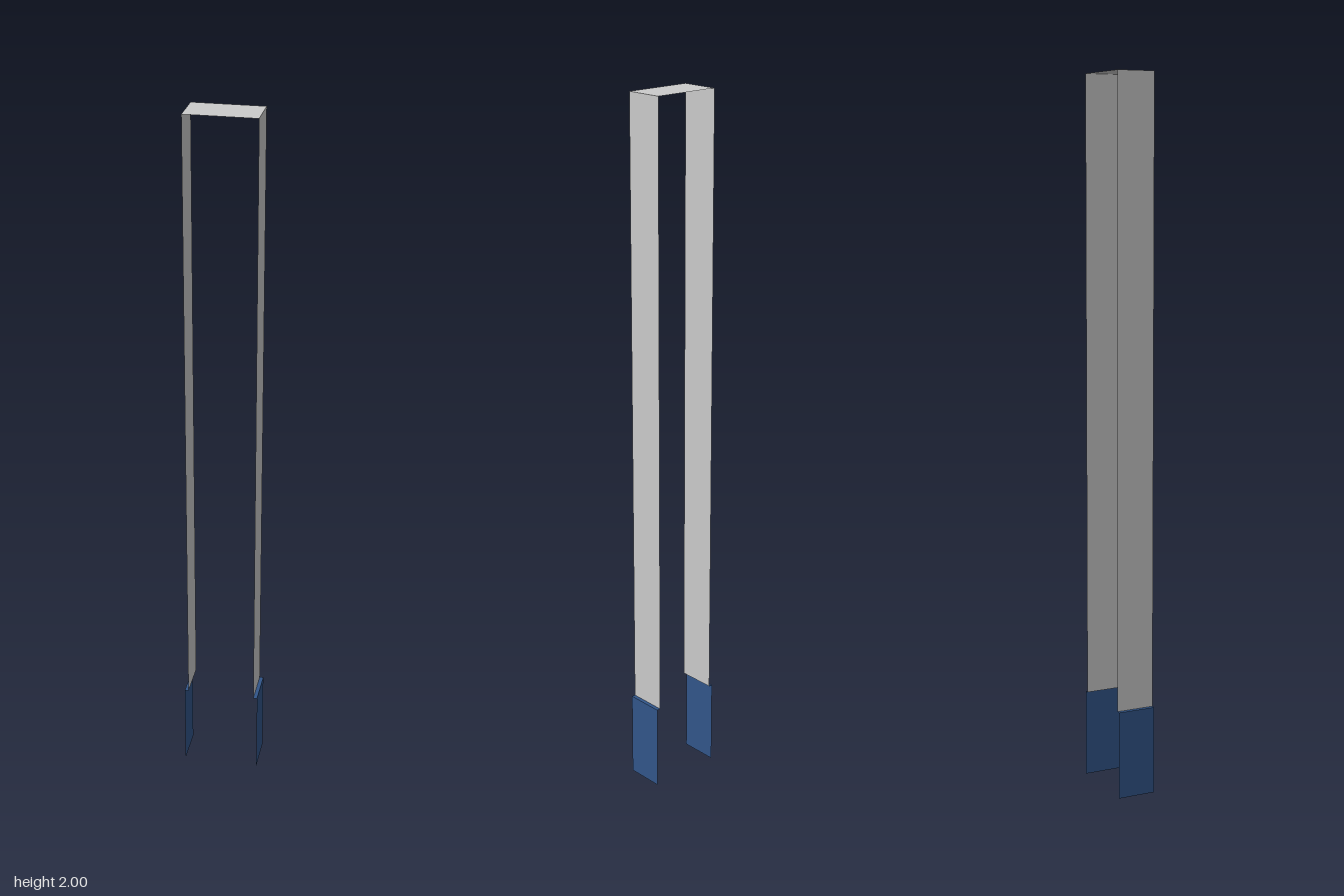
import * as THREE from 'three';

const HALF_DEPTH = 0.055;   // half the strip width along z
const LEG_X = 0.098;        // grey strip
const GRIP_X = 0.109;       // blue sleeves, stepped outwards
const GRIP_TOP = 0.25;
const TOP = 2;

// Thin sheet swept along z from a polyline of [x, y] points
function strip(name, points, material) {
  const position = [];
  for (let i = 0; i < points.length - 1; i++) {
    const [ax, ay] = points[i], [bx, by] = points[i + 1];
    const d = HALF_DEPTH;
    position.push(ax, ay, d, bx, by, d, bx, by, -d);
    position.push(ax, ay, d, bx, by, -d, ax, ay, -d);
  }
  const geometry = new THREE.BufferGeometry();
  geometry.setAttribute('position', new THREE.Float32BufferAttribute(position, 3));
  geometry.computeVertexNormals();
  const mesh = new THREE.Mesh(geometry, material);
  mesh.name = name;
  return mesh;
}

export function createModel() {
  const model = new THREE.Group();
  model.name = 'stripHandle';
  const grey = new THREE.MeshStandardMaterial({ color: 0xcccccc, side: THREE.DoubleSide });
  const blue = new THREE.MeshStandardMaterial({ color: 0x32568a, side: THREE.DoubleSide });

  // Bent strip: two tall legs and the bridge across the top
  model.add(strip('bentStrip', [
    [LEG_X, GRIP_TOP], [LEG_X, TOP], [-LEG_X, TOP], [-LEG_X, GRIP_TOP],
  ], grey));

  // Lower ends: a small ledge outwards, then a panel down to the ground
  for (const [name, s] of [['leftEnd', 1], ['rightEnd', -1]]) {
    const path = [[s * GRIP_X, 0], [s * GRIP_X, GRIP_TOP], [s * LEG_X, GRIP_TOP]];
    model.add(strip(name, s > 0 ? path : path.reverse(), blue));
  }
  return model;
}
